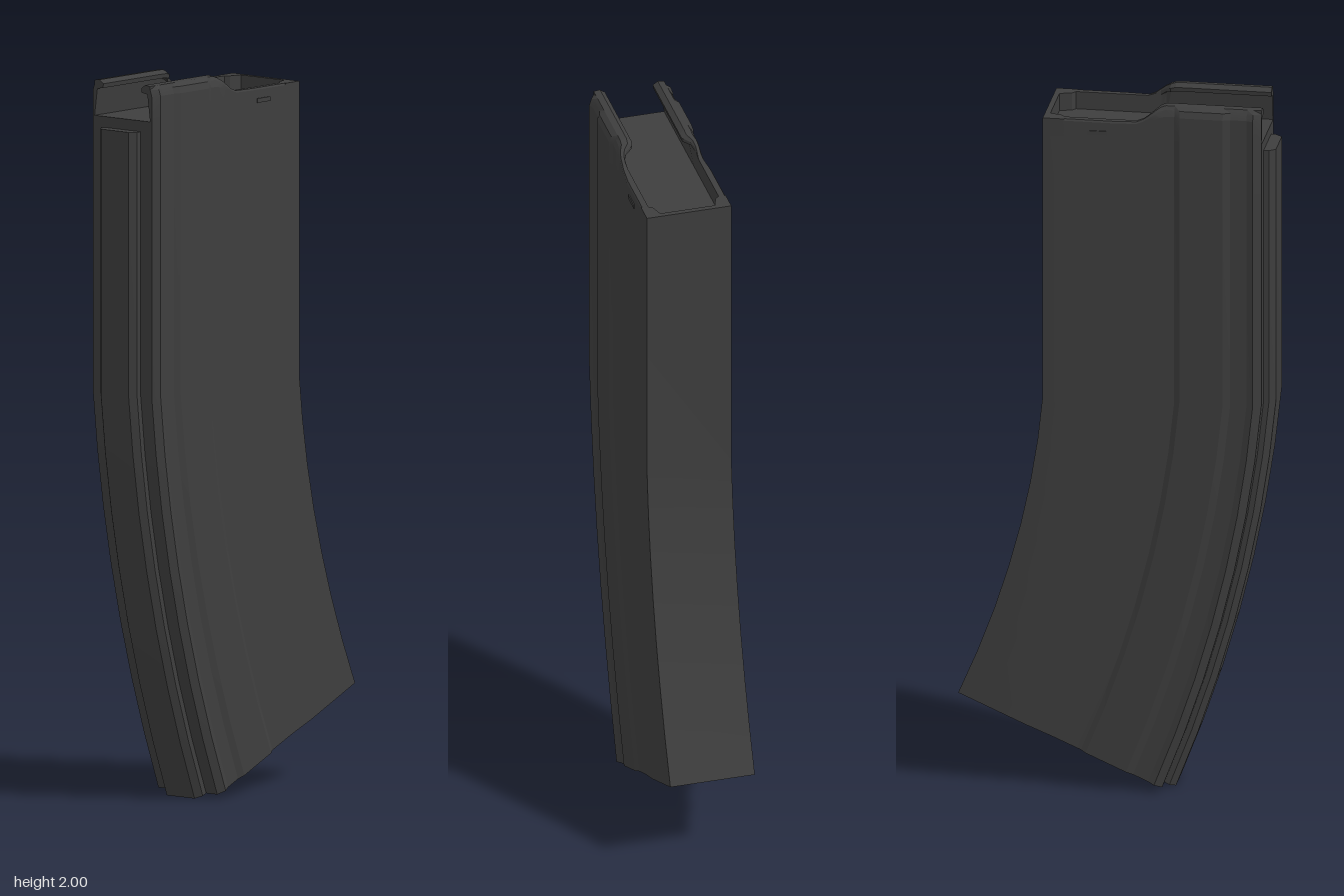
import * as THREE from 'three';
import { toCreasedNormals } from 'three/addons/utils/BufferGeometryUtils.js';

const material = new THREE.MeshStandardMaterial({ color: 0x3e3e3e });
const BACK = -0.437, WIDTH = 0.635, BEND_Y = 1.14, FLOOR_Y = 1.9;

// Skins a row of matching closed loops and caps both ends; flat(p) gives the cap plane coordinates
function loft(rows, flat) {
  const tris = [], n = rows[0].length;
  for (let i = 0; i < rows.length - 1; i++) {
    for (let j = 0; j < n; j++) {
      const k = (j + 1) % n, a = rows[i], b = rows[i + 1];
      tris.push([a[j], a[k], b[k]], [a[j], b[k], b[j]]);
    }
  }
  [rows[0], rows[rows.length - 1]].forEach((row, end) => {
    const pts = row.map(flat);
    const sign = Math.sign(THREE.ShapeUtils.area(pts));
    for (const [a, b, c] of THREE.ShapeUtils.triangulateShape(pts, [])) {
      const same = THREE.ShapeUtils.area([pts[a], pts[b], pts[c]]) * sign > 0;
      tris.push(same === (end === 1) ? [row[a], row[b], row[c]] : [row[a], row[c], row[b]]);
    }
  });
  // Turn all faces outward
  const cross = new THREE.Vector3();
  const volume = tris.reduce((s, [a, b, c]) => s + a.dot(cross.crossVectors(b, c)), 0);
  const points = tris.flatMap(([a, b, c]) => (volume < 0 ? [a, c, b] : [a, b, c]));
  return toCreasedNormals(new THREE.BufferGeometry().setFromPoints(points), 0.3);
}

// Back and front edges of the curved lower half
const backEdge = new THREE.QuadraticBezierCurve(
  new THREE.Vector2(BACK, BEND_Y), new THREE.Vector2(-0.385, 0.56), new THREE.Vector2(-0.16, 0));
const frontEdge = new THREE.QuadraticBezierCurve(
  new THREE.Vector2(BACK + WIDTH, BEND_Y), new THREE.Vector2(0.235, 0.7), new THREE.Vector2(0.432, 0.262));

// Sweeps a half profile of [x, z], mirrored in z, down the curved body
function sweep(half, topY) {
  const loop = [...half, ...half.map(([x, z]) => [x, -z]).reverse()];
  const rows = [loop.map(([x, z]) => new THREE.Vector3(x, topY, z))];
  const steps = 7;
  for (let i = 0; i <= steps; i++) {
    const a = backEdge.getPoint(i / steps), b = frontEdge.getPoint(i / steps);
    rows.push(loop.map(([x, z]) => {
      const p = a.clone().lerp(b, (x - BACK) / WIDTH);
      return new THREE.Vector3(p.x, p.y, z);
    }));
  }
  return loft(rows, p => new THREE.Vector2(p.x, p.z));
}

// Side outline with shallow pressed grooves, back to front
const side = [
  [-0.405, 0.106], [-0.383, 0.119], [-0.365, 0.113], [-0.32, 0.113], [-0.3, 0.12],
  [-0.18, 0.12], [-0.165, 0.113], [-0.08, 0.114], [0, 0.12], [0.198, 0.12],
];

function sideZ(x) {
  const i = Math.max(1, side.findIndex(p => p[0] >= x));
  const [x0, z0] = side[i - 1], [x1, z1] = side[i];
  return z0 + (z1 - z0) * (x - x0) / (x1 - x0);
}

// Upper side wall that rises toward the back into an inward curled lip
function lipWall() {
  const stations = [...side.map(p => p[0]), -0.14, -0.125, -0.11, -0.095, -0.06].sort((a, b) => a - b);
  const rows = stations.map(x => {
    const k = 1 - THREE.MathUtils.smoothstep(x, -0.145, -0.055);
    const curl = 1 - THREE.MathUtils.smoothstep(x, -0.13, -0.1);
    const z = sideZ(x);
    const plain = [[z, FLOOR_Y], [z, 1.94], [z, 1.945], [z - 0.003, 1.95], [0.102, 1.95],
      [0.1, 1.95], [0.1, 1.945], [0.1, 1.94], [0.1, FLOOR_Y]];
    const lip = [[z, FLOOR_Y], [z, 1.97], [z - 0.006, 1.988], [0.1, 1.998], [0.082, 2],
      [0.068, 1.99], [0.07, 1.978], [0.09, 1.975], [0.1, FLOOR_Y]];
    return plain.map(([pz, py], i) => new THREE.Vector3(
      x,
      THREE.MathUtils.lerp(py, lip[i][1], k),
      THREE.MathUtils.lerp(pz, lip[i][0], curl)));
  });
  return loft(rows, p => new THREE.Vector2(p.z, p.y));
}

// Front wall of the mouth with thickened inner corners
function frontWall() {
  const shape = new THREE.Shape([
    [0.198, -0.12], [0.198, 0.12], [0.14, 0.12], [0.14, 0.1], [0.15, 0.088], [0.183, 0.078],
    [0.183, -0.078], [0.15, -0.088], [0.14, -0.1], [0.14, -0.12],
  ].map(p => new THREE.Vector2(...p)));
  return new THREE.ExtrudeGeometry(shape, { depth: 0.05, bevelEnabled: false })
    .rotateX(-Math.PI / 2).translate(0, FLOOR_Y, 0);
}

export function createModel() {
  const model = new THREE.Group();
  model.name = 'curvedCase';
  const add = (name, geometry) => {
    const mesh = new THREE.Mesh(geometry, material);
    mesh.name = name;
    model.add(mesh);
    return mesh;
  };

  add('body', sweep(side, FLOOR_Y));
  add('spine', sweep([[BACK, 0.05], [-0.42, 0.066], [-0.395, 0.066]], 1.87));
  add('frontWall', frontWall());

  // Mirrored side walls and the small raised stops on them
  const wall = lipWall();
  for (const s of [1, -1]) {
    const name = s > 0 ? 'frontSide' : 'rearSide';
    add(name + 'Lip', wall).scale.z = s;
    add(name + 'Stop', new THREE.BoxGeometry(0.055, 0.012, 0.006)).position.set(0.047, 1.915, s * 0.12);
  }
  return model;
}
